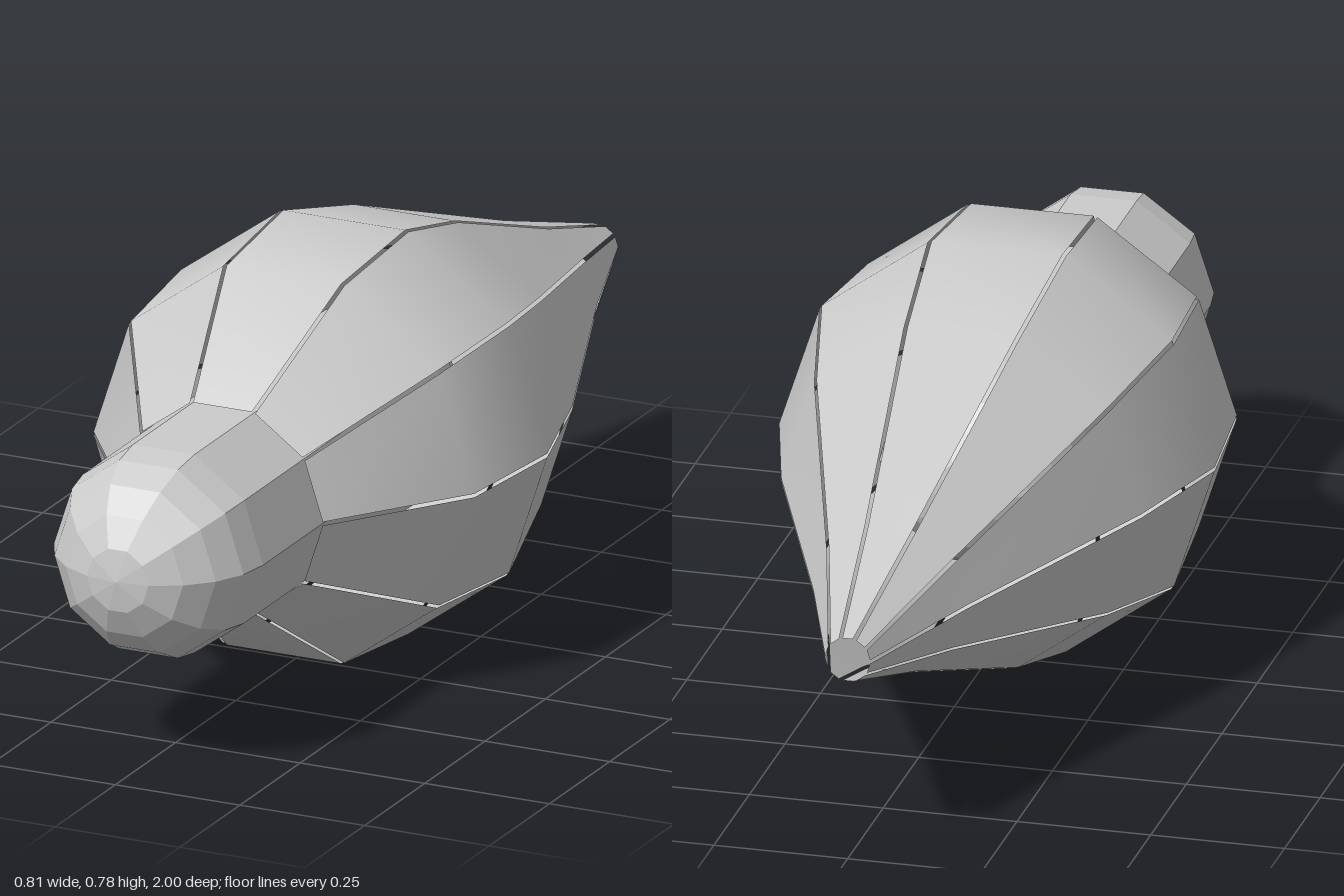
import * as THREE from 'three';

const SIDES = 10;
const AXIS_Y = 0.387;
const HALF_GAP = 0.0035;

// [z, corner radius] from the collar to the open tail
const PROFILE = [[0.555, 0.201], [0.3, 0.382], [0.05, 0.407], [-0.2, 0.337], [-0.7, 0.144], [-1, 0.042]];

// One thin shell panel, lying between two corner angles with a slit on each side
function petalGeometry(start, end) {
  const positions = [];
  const index = [];
  PROFILE.forEach(([z, r], i) => {
    for (const [angle, shift] of [[start, HALF_GAP], [end, -HALF_GAP]]) {
      positions.push(
        r * Math.cos(angle) - shift * Math.sin(angle),
        r * Math.sin(angle) + shift * Math.cos(angle),
        z
      );
    }
    if (i > 0) {
      const k = 2 * (i - 1);
      index.push(k, k + 3, k + 1, k, k + 2, k + 3);
    }
  });
  const geometry = new THREE.BufferGeometry();
  geometry.setAttribute('position', new THREE.Float32BufferAttribute(positions, 3));
  geometry.setIndex(index);
  geometry.computeVertexNormals();
  return geometry;
}

export function createModel() {
  const model = new THREE.Group();
  model.name = 'petalledPod';

  // Faceted capsule running from the rounded nose into the shell
  const core = new THREE.Mesh(
    new THREE.CapsuleGeometry(0.2, 0.8, 5, SIDES).rotateX(Math.PI / 2),
    new THREE.MeshStandardMaterial({ color: 0xcccccc, flatShading: true })
  );
  core.name = 'core';
  core.position.set(0, AXIS_Y, 0.4);
  model.add(core);

  // Ring of separate panels, smooth along their length
  const shell = new THREE.Group();
  shell.name = 'shell';
  shell.position.y = AXIS_Y;
  const shellMaterial = new THREE.MeshStandardMaterial({ color: 0xcccccc, side: THREE.DoubleSide });
  const step = (2 * Math.PI) / SIDES;
  for (let i = 0; i < SIDES; i++) {
    const petal = new THREE.Mesh(petalGeometry(i * step, (i + 1) * step), shellMaterial);
    petal.name = `petal${i + 1}`;
    shell.add(petal);
  }
  model.add(shell);

  return model;
}
